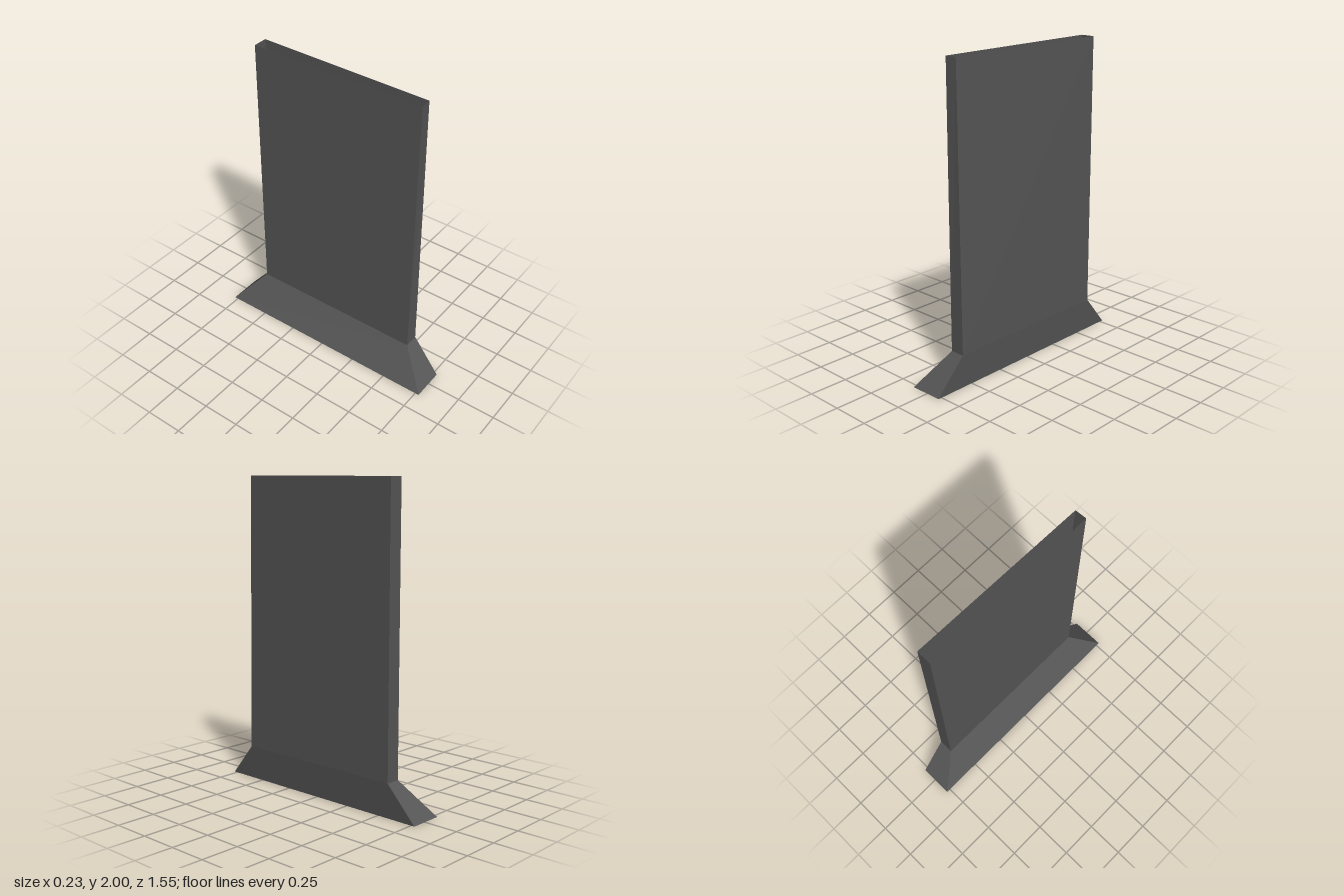
import * as THREE from 'three';

// Corner loops as [x, z], counter-clockwise seen from above
const rim = { y: 2, corners: [[0.095, 0.58], [0.115, -0.585], [0.02, -0.585], [0.02, 0.585]] };
const neck = { y: 0.22, corners: [[0.115, 0.585], [0.115, -0.585], [0.02, -0.585], [0.02, 0.585]] };
const foot = { y: 0, corners: [[0.1, 0.775], [0.1, -0.775], [-0.12, -0.775], [-0.12, 0.775]] };

// Four flat walls between two loops, open at both ends
function sleeve(name, lower, upper, material) {
  const points = [];
  const at = (ring, i) => [ring.corners[i % 4][0], ring.y, ring.corners[i % 4][1]];
  for (let i = 0; i < 4; i++) {
    const a = at(lower, i), b = at(lower, i + 1), c = at(upper, i + 1), d = at(upper, i);
    points.push(...a, ...b, ...c, ...a, ...c, ...d);
  }
  const geometry = new THREE.BufferGeometry();
  geometry.setAttribute('position', new THREE.Float32BufferAttribute(points, 3));
  geometry.computeVertexNormals();
  const mesh = new THREE.Mesh(geometry, material);
  mesh.name = name;
  return mesh;
}

export function createModel() {
  const group = new THREE.Group();
  group.name = 'flaredDuct';
  const darkGrey = new THREE.MeshStandardMaterial({ color: 0x555555, side: THREE.DoubleSide, flatShading: true });
  darkGrey.name = 'dark grey';

  // Tall flat shaft
  group.add(sleeve('shaft', neck, rim, darkGrey));
  // Flared skirt at the bottom
  group.add(sleeve('flaredSkirt', foot, neck, darkGrey));
  return group;
}
